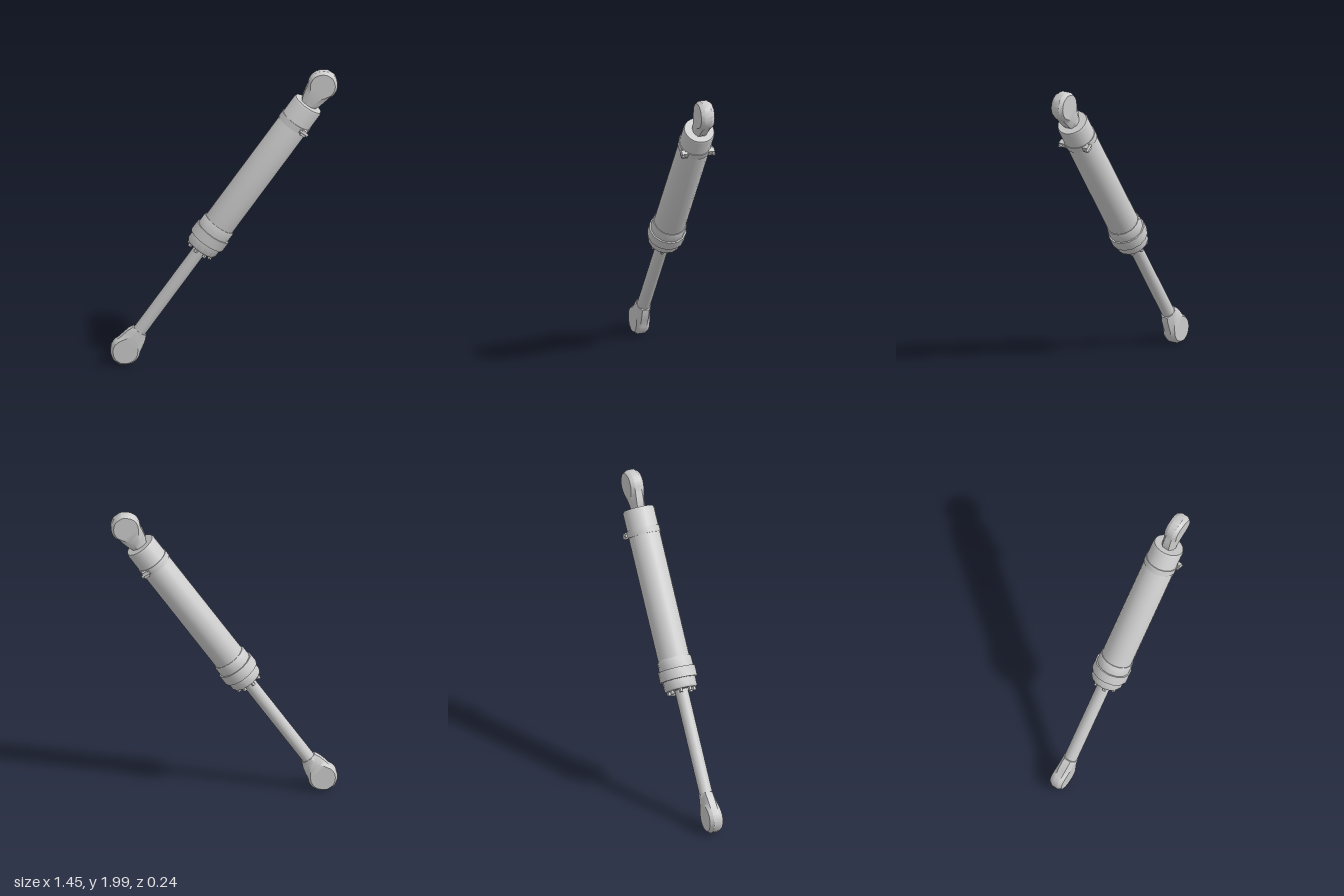
import * as THREE from 'three';
import { toCreasedNormals } from 'three/addons/utils/BufferGeometryUtils.js';

const material = new THREE.MeshStandardMaterial({ color: 0xcccccc });

function part(name, geometry, parent) {
  const mesh = new THREE.Mesh(toCreasedNormals(geometry, 0.6), material);
  mesh.name = name;
  parent.add(mesh);
  return mesh;
}

// Turned part from [radius, height] pairs, listed from bottom to top
function turned(name, profile, sides, parent) {
  const points = profile.map(([r, y]) => new THREE.Vector2(r, y));
  return part(name, new THREE.LatheGeometry(points, sides), parent);
}

// Eye end: eight-sided cross-sections lofted from the rounded tip to the neck
function eyeGeometry() {
  // height, outer half width, flat half width, edge half depth, half depth
  const sections = [[-0.095, 0.027, 0.02, 0.02, 0.022]];
  for (const y of [-0.08, -0.066, -0.045, -0.022, 0, 0.025, 0.05]) {
    const flat = Math.max(Math.sqrt(0.0064 - y * y), 0.022);
    sections.push([y, Math.sqrt(0.009025 - y * y), flat, 0.022, 0.045]);
  }
  sections.push([0.085, 0.075, 0.04, 0.023, 0.045], [0.13, 0.064, 0.02, 0.024, 0.045],
    [0.16, 0.05, 0.018, 0.022, 0.044]);

  const positions = [], index = [];
  for (const [y, w, f, e, d] of sections) {
    for (const [x, z] of [[w, -e], [w, e], [f, d], [-f, d], [-w, e], [-w, -e], [-f, -d], [f, -d]]) {
      positions.push(x, y, z);
    }
  }
  for (let j = 0; j < sections.length - 1; j++) {
    for (let i = 0; i < 8; i++) {
      const a = j * 8 + i, b = j * 8 + (i + 1) % 8;
      index.push(a, a + 8, b, b, a + 8, b + 8);
    }
  }
  // End caps
  const top = (sections.length - 1) * 8;
  for (let i = 1; i < 7; i++) {
    index.push(0, i, i + 1, top, top + i + 1, top + i);
  }
  const geometry = new THREE.BufferGeometry();
  geometry.setAttribute('position', new THREE.Float32BufferAttribute(positions, 3));
  geometry.setIndex(index);
  geometry.computeVertexNormals();
  return geometry;
}

export function createModel() {
  const model = new THREE.Group();
  model.name = 'hydraulicCylinder';

  // Everything is built upright around the middle, then leaned over
  const ram = new THREE.Group();
  ram.name = 'ram';
  ram.position.y = 1;
  ram.rotation.z = -0.611;
  model.add(ram);

  // Barrel with a slightly bevelled closed end
  turned('barrel', [[0, -0.1], [0.103, -0.1], [0.103, 0.925], [0.097, 0.94], [0, 0.94]], 20, ram);

  // Stepped gland: lower collar, wide flange, upper collar
  turned('gland', [[0, -0.255], [0.1, -0.255], [0.107, -0.245], [0.107, -0.19], [0.122, -0.19],
    [0.122, -0.12], [0.112, -0.12], [0.112, -0.06], [0.108, -0.05], [0.1, -0.05]], 14, ram);

  // Ring of bolt heads under the gland
  for (let i = 0; i < 8; i++) {
    const angle = (i + 0.5) * Math.PI / 4;
    const bolt = part('glandBolt', new THREE.CylinderGeometry(0.014, 0.014, 0.03, 6), ram);
    bolt.position.set(Math.cos(angle) * 0.082, -0.263, Math.sin(angle) * 0.082);
  }

  // Piston rod
  const rod = part('pistonRod', new THREE.CylinderGeometry(0.043, 0.043, 0.78, 16), ram);
  rod.position.y = -0.62;

  // Clamp band with a bolted lug on each side
  turned('clampBand', [[0.1, 0.765], [0.108, 0.765], [0.108, 0.808], [0.1, 0.808]], 20, ram);
  for (const side of [-1, 1]) {
    const lug = part('clampLug', new THREE.BoxGeometry(0.035, 0.04, 0.04), ram);
    lug.position.set(0.068, 0.787, side * 0.09);
    const bolt = part('clampBolt', new THREE.CylinderGeometry(0.012, 0.012, 0.06, 6), ram);
    bolt.rotation.z = Math.PI / 2;
    bolt.position.set(0.068, 0.787, side * 0.102);
  }

  // Mounting eyes, necks facing the middle
  const rodEye = part('rodEye', eyeGeometry(), ram);
  rodEye.position.y = -1.1;
  const barrelEye = part('barrelEye', eyeGeometry(), ram);
  barrelEye.position.y = 1.1;
  barrelEye.rotation.z = Math.PI;

  return model;
}
